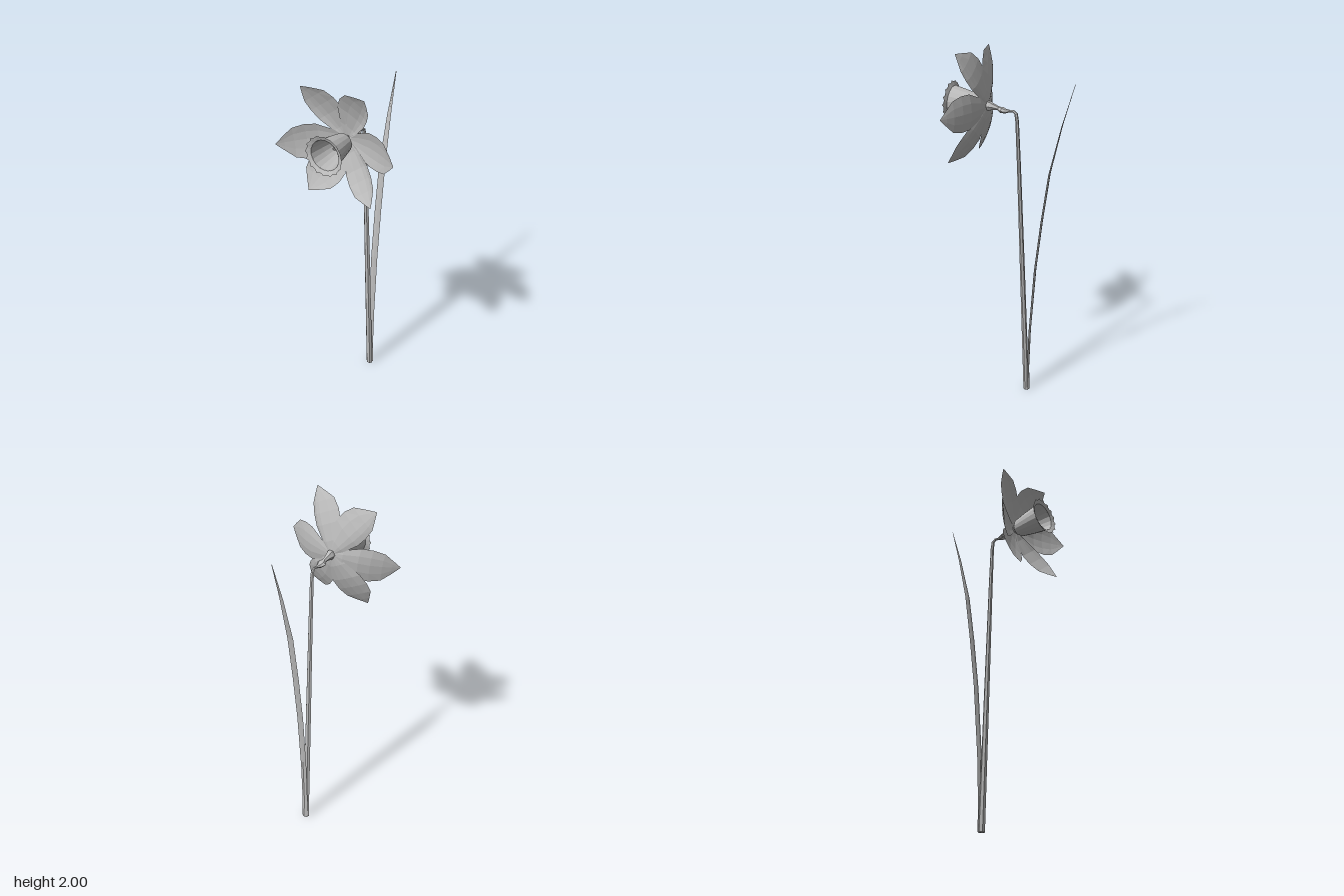
import * as THREE from 'three';

const grey = new THREE.MeshStandardMaterial({ color: 0xbcbcbc, side: THREE.DoubleSide, flatShading: true });
grey.name = 'plain grey';

// Surface through rows of points; every row has the same number of points
function skin(rows) {
  const n = rows[0].length, pos = [], index = [];
  rows.forEach(row => row.forEach(p => pos.push(...p)));
  for (let i = 0; i < rows.length - 1; i++) {
    for (let j = 0; j < n - 1; j++) {
      const a = i * n + j, b = a + 1, c = a + n, d = c + 1;
      index.push(a, b, d, a, d, c);
    }
  }
  const g = new THREE.BufferGeometry();
  g.setAttribute('position', new THREE.Float32BufferAttribute(pos, 3));
  g.setIndex(index);
  g.computeVertexNormals();
  return g;
}

// Elliptical sections [y, z, half width, half depth] swept along a path in the x = cx plane
function loft(stations, sides, cx = -0.006) {
  const rows = stations.map(([y, z, rx, rd], i) => {
    const a = stations[Math.max(0, i - 1)], b = stations[Math.min(stations.length - 1, i + 1)];
    const len = Math.hypot(b[0] - a[0], b[1] - a[1]);
    const ty = (b[0] - a[0]) / len, tz = (b[1] - a[1]) / len;
    return Array.from({ length: sides + 1 }, (_, k) => {
      const t = k / sides * Math.PI * 2, d = Math.sin(t) * rd;
      return [cx - Math.cos(t) * rx, y - tz * d, z + ty * d];
    });
  });
  // close both ends
  const cap = s => Array.from({ length: sides + 1 }, () => [cx, s[0], s[1]]);
  return skin([cap(stations[0]), ...rows, cap(stations[stations.length - 1])]);
}

// Petal running from the flower centre to its tip, with separate widths each side
function petal([tx, ty, tz, left, right]) {
  const cx = -0.005, cy = 1.705, z0 = 0.13;
  const dx = tx - cx, dy = ty - cy, len = Math.hypot(dx, dy);
  const nx = -dy / len, ny = dx / len;
  const profile = [[0.04, 0.018], [0.2, 0.058], [0.45, 0.098], [0.62, 0.1], [0.78, 0.085], [0.9, 0.042], [1, 0.002]];
  return skin(profile.map(([f, w]) => [-1, -0.5, 0, 0.5, 1].map(s => {
    const side = s * w * (s > 0 ? left : right);
    const z = z0 + (tz - z0) * f * f + 0.014 * s * s * Math.sin(Math.PI * f);
    return [cx + dx * f + nx * side, cy + dy * f + ny * side, z];
  })));
}

export function createModel() {
  const model = new THREE.Group();
  const add = (name, geometry, parent = model) => {
    const mesh = new THREE.Mesh(geometry, grey);
    mesh.name = name;
    parent.add(mesh);
    return mesh;
  };

  // Stem bending forward into the neck
  add('stem', loft([
    [0, -0.098, 0.02, 0.016], [0.8, -0.068, 0.017, 0.013], [1.4, -0.045, 0.013, 0.01],
    [1.64, -0.034, 0.011, 0.009], [1.68, -0.028, 0.009, 0.009],
    [1.693, -0.012, 0.006, 0.007], [1.69, 0.01, 0.007, 0.006]], 6));

  // Sheath and seed pod behind the petals
  add('sheath', loft([
    [1.691, 0, 0.005, 0.005], [1.687, 0.03, 0.017, 0.011], [1.691, 0.05, 0.026, 0.015],
    [1.697, 0.072, 0.01, 0.01]], 6));
  add('seedPod', loft([
    [1.697, 0.068, 0.011, 0.01], [1.702, 0.095, 0.016, 0.016], [1.705, 0.12, 0.023, 0.026],
    [1.706, 0.138, 0.022, 0.024]], 6));

  // Long blade leaf
  add('leaf', loft([
    [0, -0.11, 0.018, 0.009], [0.14, -0.108, 0.018, 0.006], [0.4, -0.116, 0.019, 0.006],
    [0.8, -0.144, 0.02, 0.005], [1.1, -0.178, 0.02, 0.004], [1.38, -0.217, 0.019, 0.003],
    [1.65, -0.28, 0.011, 0.002], [1.87, -0.343, 0.002, 0.001]], 4));

  // Six petals: tip x, y, z, then width factors left and right of the midline
  const petals = new THREE.Group();
  petals.name = 'petals';
  model.add(petals);
  [[0.155, 2.0, 0.232, 1.2, 0.5], [0.32, 1.71, 0.242, 0.95, 0.95],
    [0.21, 1.445, 0.262, 0.55, 1.05], [-0.165, 1.415, 0.245, 0.97, 0.97],
    [-0.32, 1.66, 0.294, 1.05, 0.85], [-0.215, 1.97, 0.212, 0.6, 1.1]
  ].forEach((p, i) => add('petal' + (i + 1), petal(p), petals));

  // Trumpet and its parts, built along +z and tilted slightly upward
  const trumpet = new THREE.Group();
  trumpet.name = 'trumpet';
  trumpet.position.set(-0.005, 1.7, 0.13);
  trumpet.rotation.x = -0.06;
  model.add(trumpet);
  const cup = [[0.006, 0.01], [0.035, 0.018], [0.05, 0.035], [0.066, 0.115], [0.079, 0.198]];
  add('cup', new THREE.LatheGeometry(cup.map(p => new THREE.Vector2(...p)), 18), trumpet)
    .rotation.x = Math.PI / 2;

  // Frilled rim
  const rim = [[0.078, 0.196, 0], [0.092, 0.203, 0.5], [0.101, 0.207, 1]];
  add('frilledRim', skin(rim.map(([r, z, wave]) => Array.from({ length: 49 }, (_, k) => {
    const t = k / 48 * Math.PI * 2, f = Math.cos(t * 16) * wave;
    return [Math.cos(t) * (r + 0.004 * f), Math.sin(t) * (r + 0.004 * f), z + 0.003 * f];
  }))), trumpet);

  // Pistil in the throat
  const pistil = add('pistil', new THREE.CylinderGeometry(0.005, 0.006, 0.1, 6), trumpet);
  pistil.rotation.x = Math.PI / 2;
  pistil.position.z = 0.06;
  add('pistilTip', new THREE.IcosahedronGeometry(0.011, 0), trumpet).position.z = 0.112;
  for (let i = 0; i < 6; i++) {
    const t = i / 6 * Math.PI * 2;
    const stamen = add('stamen', new THREE.CylinderGeometry(0.003, 0.003, 0.07, 4), trumpet);
    stamen.rotation.x = Math.PI / 2;
    stamen.position.set(Math.cos(t) * 0.016, Math.sin(t) * 0.016, 0.05);
  }
  return model;
}
